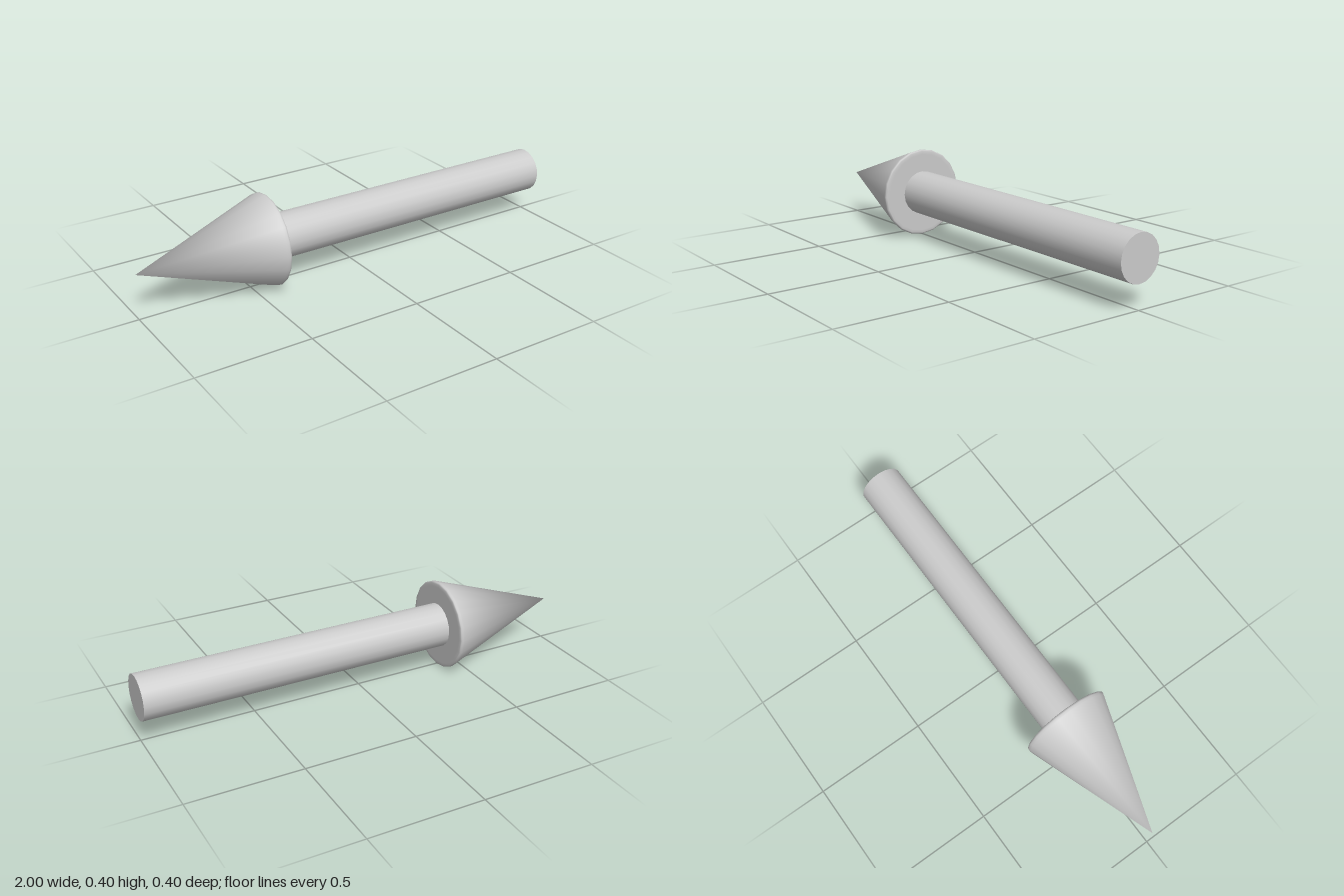
import * as THREE from 'three';
import { mergeVertices } from 'three/addons/utils/BufferGeometryUtils.js';

const SIDES = 20;
const AXIS_Y = 0.2;

export function createModel() {
  const arrow = new THREE.Group();
  arrow.name = 'arrow';
  const material = new THREE.MeshStandardMaterial({ color: 0xcccccc });

  // Add a part turned around y, laid down so its axis runs along +x
  const addPart = (name, geometry) => {
    geometry.rotateZ(-Math.PI / 2);
    geometry.translate(0, AXIS_Y, 0);
    const mesh = new THREE.Mesh(geometry, material);
    mesh.name = name;
    arrow.add(mesh);
  };

  // Cone head with a slightly softened rim: [radius, position along the axis]
  const profile = [
    [0, -1], [0.197, -0.425], [0.2, -0.415], [0.199, -0.408],
    [0.193, -0.405], [0.18, -0.405], [0, -0.405],
  ].map(([r, x]) => new THREE.Vector2(r, x));
  let head = new THREE.LatheGeometry(profile, SIDES);
  // Weld the seam and tip so the shading is smooth all over
  head.deleteAttribute('normal');
  head.deleteAttribute('uv');
  head = mergeVertices(head, 1e-4);
  head.computeVertexNormals();
  addPart('arrowHead', head);

  // Round shaft with a flat end
  const start = -0.41;
  const length = 1 - start;
  const shaft = new THREE.CylinderGeometry(0.099, 0.099, length, SIDES);
  shaft.translate(0, start + length / 2, 0);
  addPart('shaft', shaft);

  return arrow;
}
